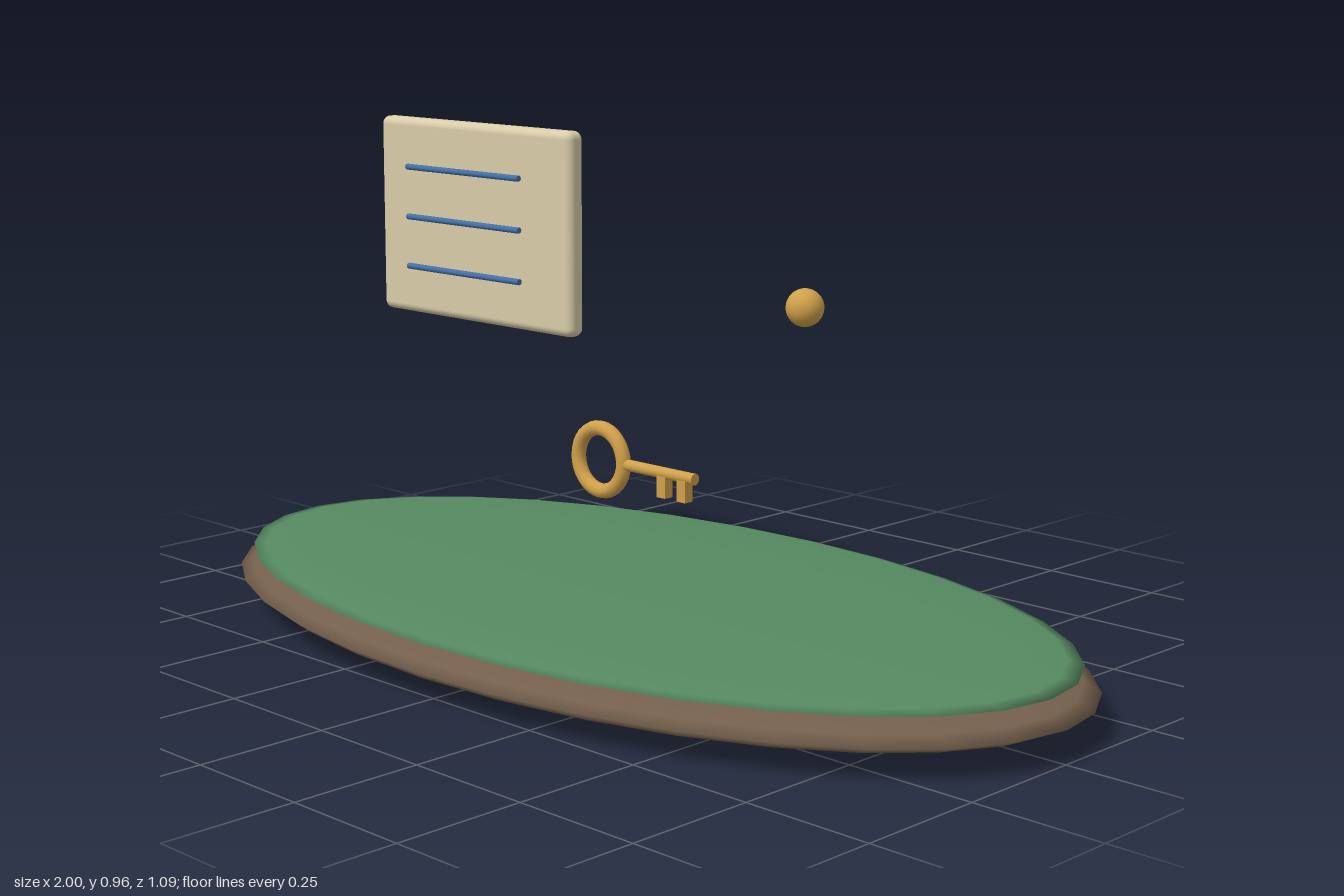
import * as THREE from 'three';
import { RoundedBoxGeometry } from 'three/addons/geometries/RoundedBoxGeometry.js';

const material = (color) => new THREE.MeshStandardMaterial({ color });

function add(parent, name, geometry, mat, x, y, z = 0) {
  const mesh = new THREE.Mesh(geometry, mat);
  mesh.name = name;
  mesh.position.set(x, y, z);
  parent.add(mesh);
  return mesh;
}

// Cylinder lying along x
const rod = (radius, length, sides) =>
  new THREE.CylinderGeometry(radius, radius, length, sides).rotateZ(Math.PI / 2);

export function createModel() {
  const model = new THREE.Group();
  const soil = material(0x75604d);
  const grass = material(0x568a61);
  const paper = material(0xd8cba8);
  const ink = material(0x4470a8);
  const gold = material(0xd0a04a);

  // Island: two flattened spheres, soil below grass
  const disc = new THREE.SphereGeometry(1, 32, 12);
  add(model, 'soilBase', disc, soil, 0, 0.059).scale.set(1, 0.059, 0.545);
  add(model, 'grassTop', disc, grass, 0, 0.104).scale.set(0.967, 0.019, 0.522);

  // Note sheet with three written lines on its front
  const note = new THREE.Group();
  note.name = 'note';
  note.position.set(-0.427, 0.767, 0);
  model.add(note);
  add(note, 'sheet', new RoundedBoxGeometry(0.555, 0.393, 0.042, 4, 0.016), paper, 0, 0);
  for (const y of [0.1, 0, -0.1]) {
    add(note, 'writtenLine', rod(0.006, 0.33, 10), ink, -0.018, y, 0.03);
  }

  // Key: ring bow, round shaft and two teeth
  const key = new THREE.Group();
  key.name = 'key';
  key.position.set(-0.087, 0.343, 0);
  model.add(key);
  add(key, 'keyBow', new THREE.TorusGeometry(0.061, 0.0145, 12, 32), gold, 0, 0);
  add(key, 'keyShaft', rod(0.011, 0.182, 16), gold, 0.157, 0);
  for (const x of [0.169, 0.221]) {
    add(key, 'keyTooth', new THREE.BoxGeometry(0.022, 0.046, 0.02), gold, x, -0.023);
  }

  // Floating bead
  add(model, 'bead', new THREE.SphereGeometry(0.034, 24, 16), gold, 0.423, 0.692);

  return model;
}
